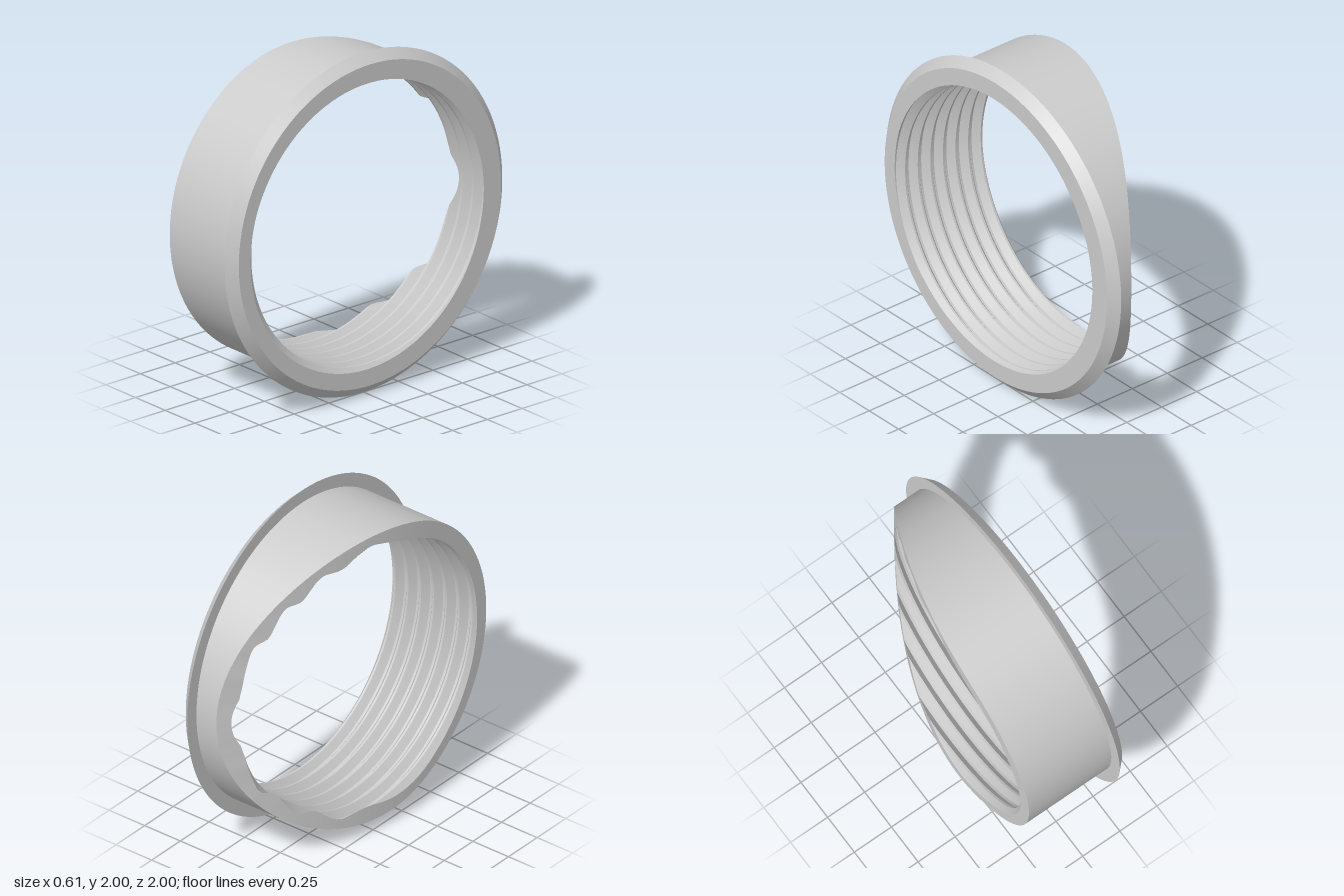
import * as THREE from 'three';
import { toCreasedNormals } from 'three/addons/utils/BufferGeometryUtils.js';

const FACE_X = 0.305, FLANGE_X = 0.25;      // flange front and back
const BODY_R = 0.92, FLANGE_R = 1.0, RIM_R = 0.945;
const CREST_R = 0.82, ROOT_R = 0.86, PITCH = 0.09;
const SEGMENTS = 240, TURN = Math.PI * 2;
const PHASE = 0.5 - FACE_X / PITCH + 0.28;

// Back edge: flat at one side, then sweeping forward along a large arc
function cutX(z) {
  const d = Math.min(0, z - 0.4);
  return -0.305 + 2.306 - Math.sqrt(2.306 ** 2 - d * d);
}

// Trapezoidal thread profile, u counted in turns
const BREAKS = [0.07, 0.42, 0.58, 0.93];
function threadRadius(u) {
  const f = u - Math.floor(u);
  const d = Math.min(f, 1 - f);             // 0 at the crest, 0.5 at the root
  const t = THREE.MathUtils.clamp((d - 0.07) / 0.35, 0, 1);
  return CREST_R + (ROOT_R - CREST_R) * t;
}

// Closed outline (x, radius) of the ring at one angle
function section(angle) {
  const shift = PHASE - angle / TURN;
  const radiusAt = x => threadRadius(x / PITCH + shift);
  let endX = cutX(0.84 * Math.sin(angle));
  for (let i = 0; i < 3; i++) endX = cutX(radiusAt(endX) * Math.sin(angle));

  const pts = [[FACE_X, radiusAt(FACE_X)]];
  // helical thread, breakpoints follow the helix and stop at both ends
  for (let k = 5; k >= -8; k--) {
    for (let b = BREAKS.length - 1; b >= 0; b--) {
      const raw = (k + BREAKS[b] - shift) * PITCH;
      const x = THREE.MathUtils.clamp(raw, endX, FACE_X);
      pts.push([x, radiusAt(x)]);
    }
  }
  pts.push([endX, radiusAt(endX)]);
  // cut face, outer wall and bevelled flange
  pts.push([cutX(BODY_R * Math.sin(angle)), BODY_R]);
  pts.push([FLANGE_X, BODY_R], [FLANGE_X, FLANGE_R], [FACE_X, RIM_R]);
  pts.push(pts[0]);
  return pts.map(([x, r]) =>
    new THREE.Vector3(x, 1 + r * Math.cos(angle), r * Math.sin(angle)));
}

function ringGeometry() {
  const rings = [];
  for (let i = 0; i <= SEGMENTS; i++) rings.push(section(i / SEGMENTS * TURN));
  const positions = [];
  const ab = new THREE.Vector3(), ac = new THREE.Vector3();
  const triangle = (a, b, c) => {
    ab.subVectors(b, a).cross(ac.subVectors(c, a));
    if (ab.length() < 1e-8) return;         // skip collapsed faces
    for (const p of [a, b, c]) positions.push(p.x, p.y, p.z);
  };
  for (let i = 0; i < SEGMENTS; i++) {
    const p = rings[i], q = rings[i + 1];
    for (let j = 0; j < p.length - 1; j++) {
      triangle(p[j], q[j], q[j + 1]);
      triangle(p[j], q[j + 1], p[j + 1]);
    }
  }
  const geometry = new THREE.BufferGeometry();
  geometry.setAttribute('position', new THREE.Float32BufferAttribute(positions, 3));
  return toCreasedNormals(geometry, 0.5);
}

export function createModel() {
  const group = new THREE.Group();
  group.name = 'threadedCollar';
  const ring = new THREE.Mesh(ringGeometry(),
    new THREE.MeshStandardMaterial({ color: 0xcccccc }));
  ring.name = 'threadedRingWithFlange';
  group.add(ring);
  return group;
}
